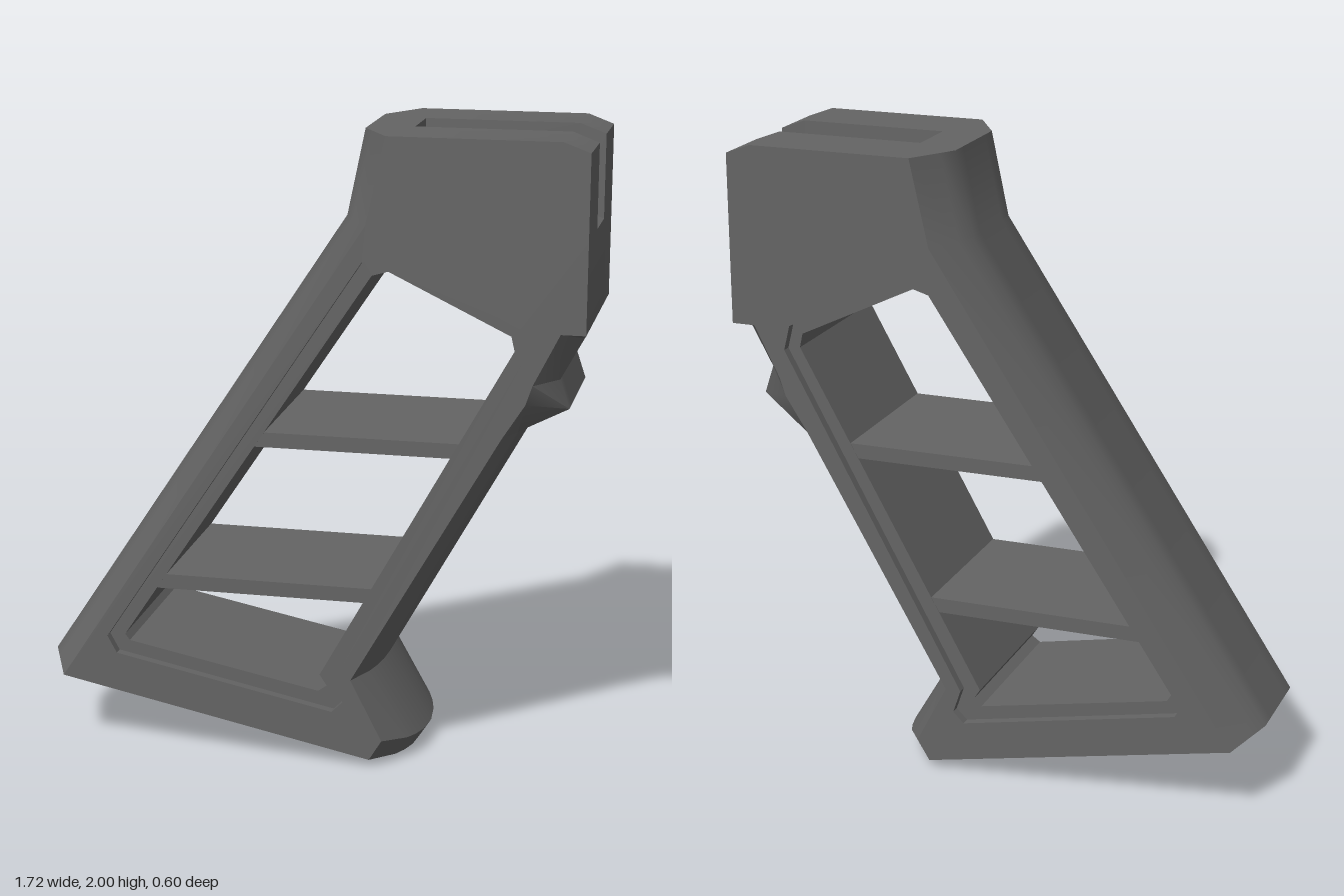
import * as THREE from 'three';
import { toCreasedNormals } from 'three/addons/utils/BufferGeometryUtils.js';

const HALF = 0.3, FLOOR = 0.27, SLOT = 0.09;

// Side outline, counter-clockwise. front / back: 0 = side edge, 1 = middle of the grip.
function outline({ front, lip, back }, slot) {
  const mix = (ex, ey, cx, cy, f) => [ex + (cx - ex) * f, ey + (cy - ey) * f];
  return [
    [-0.79, 0.23],
    mix(0.21, 0.029, 0.32, 0.005, front), // base flare
    mix(0.25, 0.095, 0.355, 0.06, front),
    mix(0.15, 0.29, 0.22, 0.29, front),
    mix(0.61, 1.1, 0.67, 1.1, front), // finger ledge
    mix(0.68, 1.21, 0.8, 1.18, lip),
    mix(0.70, 1.27, 0.77, 1.27, lip),
    mix(0.78, 1.43, 0.84, 1.4, lip), // top block
    [0.855, 1.43],
    [0.855, 1.71],
    slot ? [0.855, 1.71] : [0.855, 1.97],
    slot ? [0.775, 1.737] : [0.775, 2],
    slot ? [0.3, 1.9] : [0.3, 2],
    [0.3, 2],
    mix(0.25, 2, 0.16, 2, back),
    mix(0.19, 1.73, 0.105, 1.735, back), // back strap
    mix(-0.79, 0.23, -0.86, 0.265, back),
  ];
}

// Skin through closed outlines placed at increasing z
function loft(slices) {
  const pos = [], idx = [], n = slices[0].pts.length;
  slices.forEach(s => s.pts.forEach(([x, y]) => pos.push(x, y, s.z)));
  for (let s = 0; s < slices.length - 1; s++) {
    for (let i = 0; i < n; i++) {
      const j = (i + 1) % n, a = s * n + i, b = s * n + j;
      idx.push(a, b, b + n, a, b + n, a + n);
    }
  }
  const g = new THREE.BufferGeometry();
  g.setAttribute('position', new THREE.Float32BufferAttribute(pos, 3));
  g.setIndex(idx);
  return toCreasedNormals(g, 0.6);
}

// Flat face with a hole, facing +z or -z
function plate(pts, hole, z) {
  const vec = list => list.map(p => new THREE.Vector2(...p));
  const shape = new THREE.Shape(vec(pts));
  shape.holes.push(new THREE.Path(vec(hole)));
  const g = new THREE.ShapeGeometry(shape);
  if (z < 0) {
    g.index.array.reverse();
    g.attributes.normal.array.forEach((v, i, arr) => { arr[i] = -v; });
  }
  return g.translate(0, 0, z);
}

export function createModel() {
  const model = new THREE.Group();
  const darkGrey = new THREE.MeshStandardMaterial({ color: 0x646464 });
  darkGrey.name = 'dark grey';
  const add = (name, geometry) => {
    const mesh = new THREE.Mesh(geometry, darkGrey);
    mesh.name = name;
    model.add(mesh);
    return mesh;
  };

  // Outer shell with the slot cut into the top
  const edge = { front: 0, lip: 0, back: 0 };
  const half = [
    { z: HALF, pts: outline(edge) },
    { z: 0.2, pts: outline({ front: 0.6, lip: 1, back: 0.667 }) },
    { z: 0.15, pts: outline({ front: 0.78, lip: 1, back: 1 }) },
    { z: SLOT, pts: outline({ front: 0.92, lip: 1, back: 1 }) },
    { z: SLOT, pts: outline({ front: 0.92, lip: 1, back: 1 }, true) },
  ];
  const middle = { z: 0, pts: outline({ front: 1, lip: 1, back: 1 }, true) };
  const mirrored = half.map(s => ({ z: -s.z, pts: s.pts }));
  add('gripShell', loft([...mirrored, middle, ...half.slice().reverse()]));

  // Window: a shallow recess around a through hole
  const recess = [
    [0.18, 1.62], [-0.64, 0.375], [-0.61, 0.32], [0.09, 0.18], [0.125, 0.215],
    [0.1, 0.29], [0.68, 1.36], [0.66, 1.44], [0.26, 1.64],
  ];
  const hole = [
    [0.205, 1.575], [-0.59, 0.375], [-0.575, 0.355], [0.04, 0.235], [0.068, 0.255],
    [0.045, 0.29], [0.64, 1.365], [0.63, 1.41], [0.255, 1.59],
  ];
  const inward = pts => pts.slice().reverse();
  const sideOutline = outline(edge).filter((p, i, all) => {
    const q = all[(i + 1) % all.length];
    return Math.hypot(p[0] - q[0], p[1] - q[1]) > 1e-6;
  });
  add('windowWall', loft([-FLOOR, FLOOR].map(z => ({ z, pts: inward(hole) }))));
  for (const s of [-1, 1]) {
    const side = s > 0 ? 'front' : 'back';
    add(side + 'Face', plate(sideOutline, recess, s * HALF));
    add(side + 'RecessFloor', plate(recess, hole, s * FLOOR));
    const depths = s > 0 ? [FLOOR, HALF] : [-HALF, -FLOOR];
    add(side + 'RecessWall', loft(depths.map(z => ({ z, pts: inward(recess) }))));
  }

  // Cross ribs spanning the window
  for (const [y, left, right] of [[1.045, -0.17, 0.49], [0.562, -0.49, 0.22]]) {
    const rib = add('crossRib', new THREE.BoxGeometry(right - left, 0.047, 2 * FLOOR - 0.002));
    rib.position.set((left + right) / 2, y, 0);
  }
  return model;
}
